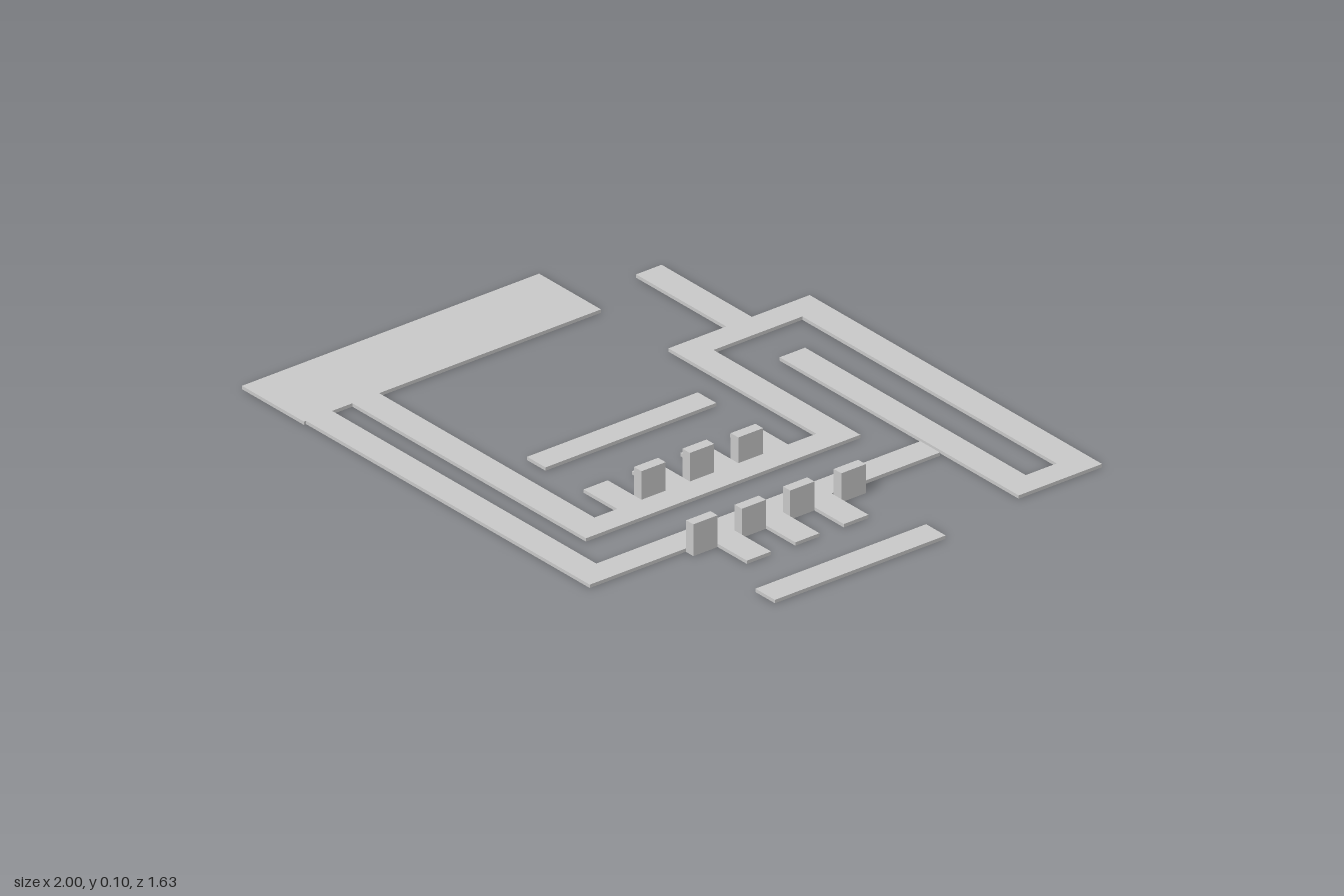
import * as THREE from 'three';

const THICK = 0.011;
const material = new THREE.MeshStandardMaterial({ color: 0xcccccc, flatShading: true });

// Flat plate lying on the ground from an outline of [x, z] corners
function plate(name, outline) {
  const shape = new THREE.Shape(outline.map(([x, z]) => new THREE.Vector2(x, -z)));
  const geometry = new THREE.ExtrudeGeometry(shape, { depth: THICK, bevelEnabled: false });
  geometry.rotateX(-Math.PI / 2);
  const mesh = new THREE.Mesh(geometry, material);
  mesh.name = name;
  return mesh;
}

// Box standing on the ground between two x and two z limits
function block(name, x0, x1, z0, z1, height) {
  const mesh = new THREE.Mesh(new THREE.BoxGeometry(x1 - x0, height, z1 - z0), material);
  mesh.position.set((x0 + x1) / 2, height / 2, (z0 + z1) / 2);
  mesh.name = name;
  return mesh;
}

export function createModel() {
  const group = new THREE.Group();
  group.name = 'trackLayout';

  // Comb teeth along the two facing tracks
  const leftTeeth = [[0.36, 0.45], [0.18, 0.27], [0, 0.09], [-0.185, -0.095]]
    .flatMap(([a, b]) => [[0.275, b], [0.12, b], [0.12, a], [0.275, a]]);
  const rightTeeth = [[-0.092, 0], [0.09, 0.18], [0.27, 0.36]]
    .flatMap(([a, b]) => [[0.59, a], [0.76, a], [0.76, b], [0.59, b]]);

  // Pad with the inner track, rear meander and outer track in one outline
  group.add(plate('padAndTracks', [
    [-1, -0.29], [-0.715, -0.29], [-0.715, 0.535], [0.275, 0.535],
    ...leftTeeth,
    [0.275, -0.29], [-0.405, -0.29], [-0.405, -0.505], [-0.82, -0.505], [-0.82, -0.6],
    [-0.405, -0.6], [-0.405, -0.815], [0.94, -0.815], [0.94, -0.505], [-0.16, -0.505],
    [-0.16, -0.6], [0.855, -0.6], [0.855, -0.715], [-0.315, -0.715], [-0.315, -0.385],
    [0.36, -0.385], [0.36, 0.635], [-0.715, 0.635], [-0.715, 0.71], [0.5, 0.71],
    [0.5, -0.495], [0.59, -0.495],
    ...rightTeeth,
    [0.59, 0.807], [-0.715, 0.807], [-0.715, 0.815], [-1, 0.815],
  ]));

  // Loose bars on either side of the combs
  group.add(block('innerBar', -0.14, -0.055, -0.185, 0.45, THICK));
  group.add(block('outerBar', 0.91, 1, -0.185, 0.45, THICK));

  // Upright posts in the gaps between teeth: [z0, z1, height]
  [[-0.092, 0, 0.095], [0.09, 0.18, 0.104], [0.27, 0.36, 0.104]].forEach(([a, b, h]) =>
    group.add(block('innerPost', 0.24, 0.275, a, b, h)));
  [[0, 0.09, 0.095], [0.18, 0.27, 0.095], [0.36, 0.45, 0.104]].forEach(([a, b, h]) =>
    group.add(block('outerPost', 0.592, 0.625, a, b, h)));
  group.add(block('outerPost', 0.6, 0.635, -0.183, -0.092, 0.095));

  return group;
}
